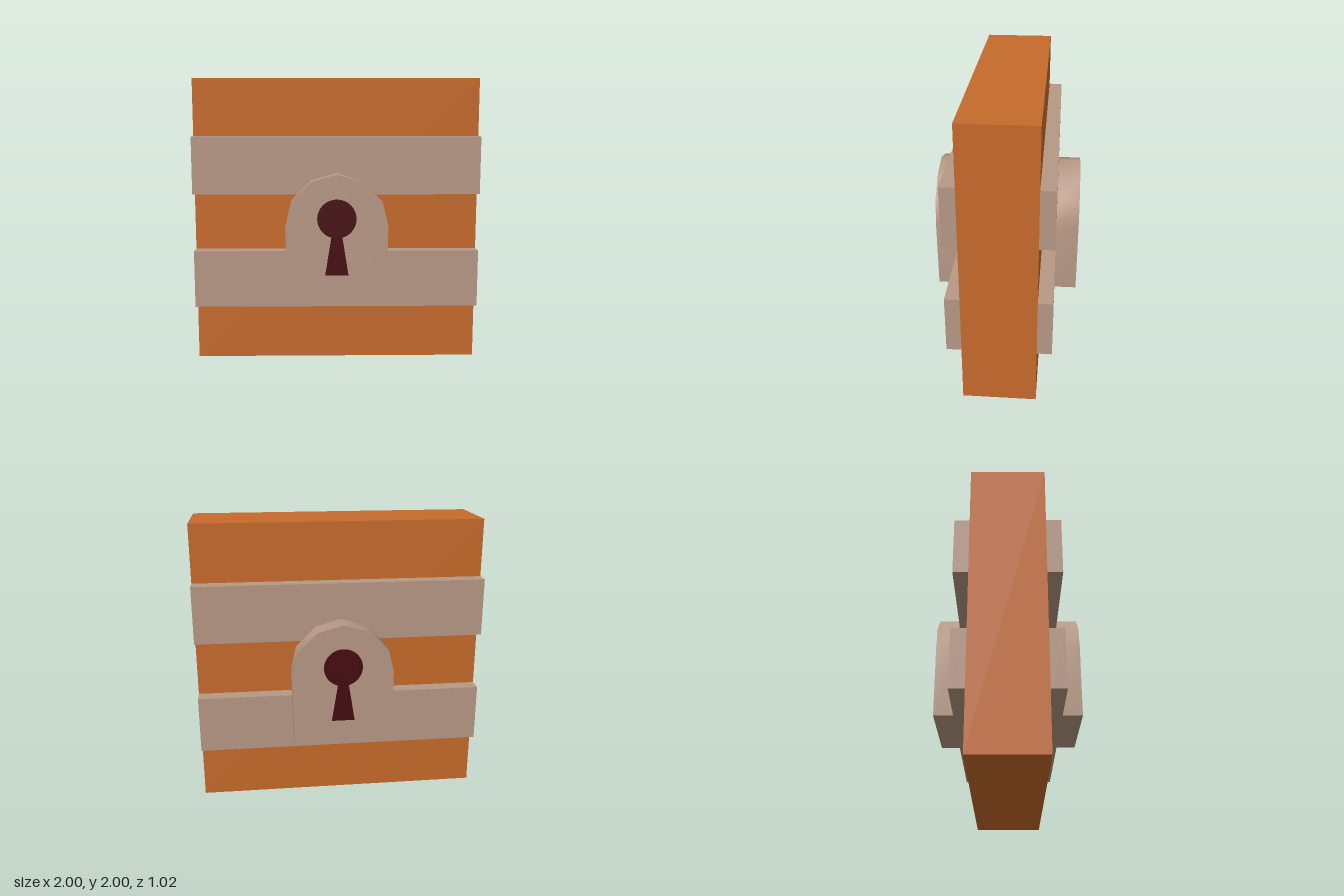
import * as THREE from 'three';
import { toCreasedNormals } from 'three/addons/utils/BufferGeometryUtils.js';

function material(name, color) {
  const m = new THREE.MeshStandardMaterial({ color });
  m.name = name;
  return m;
}

function addMesh(parent, name, geometry, mat, x = 0, y = 0, z = 0) {
  const mesh = new THREE.Mesh(geometry, mat);
  mesh.name = name;
  mesh.position.set(x, y, z);
  parent.add(mesh);
  return mesh;
}

export function createModel() {
  const wood = material('orange wood', 0xc66a2b);
  const metal = material('dull metal', 0xb79885);
  const dark = material('dark keyhole', 0x460c10);

  const model = new THREE.Group();
  model.name = 'lockedDoorBlock';

  // Door slab
  addMesh(model, 'doorSlab', new THREE.BoxGeometry(2, 2, 0.5), wood, 0, 1, 0);

  // Arched lock plate outline, mirrored about x = 0
  const half = [[0.34, 0.485], [0.35, 1.0], [0.31, 1.165], [0.175, 1.3]];
  const outline = [
    ...half.map(([x, y]) => new THREE.Vector2(x, y)),
    new THREE.Vector2(0, 1.35),
    ...half.slice().reverse().map(([x, y]) => new THREE.Vector2(-x, y)),
  ];
  const plateGeometry = toCreasedNormals(
    new THREE.ExtrudeGeometry(new THREE.Shape(outline), { depth: 0.155, bevelEnabled: false }),
    Math.PI / 5
  );

  // Keyhole: round top with a flared slot
  const radius = 0.133, neck = 0.038, centreY = 1.05;
  const angle = Math.acos(neck / radius);
  const keyhole = new THREE.Shape();
  keyhole.moveTo(-0.08, 0.66);
  keyhole.lineTo(0.08, 0.66);
  keyhole.lineTo(neck, centreY - radius * Math.sin(angle));
  keyhole.absarc(0, centreY, radius, -angle, Math.PI + angle, false);
  keyhole.closePath();
  const keyholeGeometry = new THREE.ShapeGeometry(keyhole, 32);

  // Bands and lock on both faces
  const bandGeometry = new THREE.BoxGeometry(2, 0.4, 0.1);
  for (const [name, turn] of [['frontFittings', 0], ['backFittings', Math.PI]]) {
    const side = new THREE.Group();
    side.name = name;
    side.rotation.y = turn;
    addMesh(side, 'lowerBand', bandGeometry, metal, 0, 0.6, 0.3);
    addMesh(side, 'upperBand', bandGeometry, metal, 0, 1.4, 0.3);
    addMesh(side, 'lockPlate', plateGeometry, metal, 0, 0, 0.35);
    addMesh(side, 'keyhole', keyholeGeometry, dark, 0, 0, 0.509);
    model.add(side);
  }
  return model;
}
